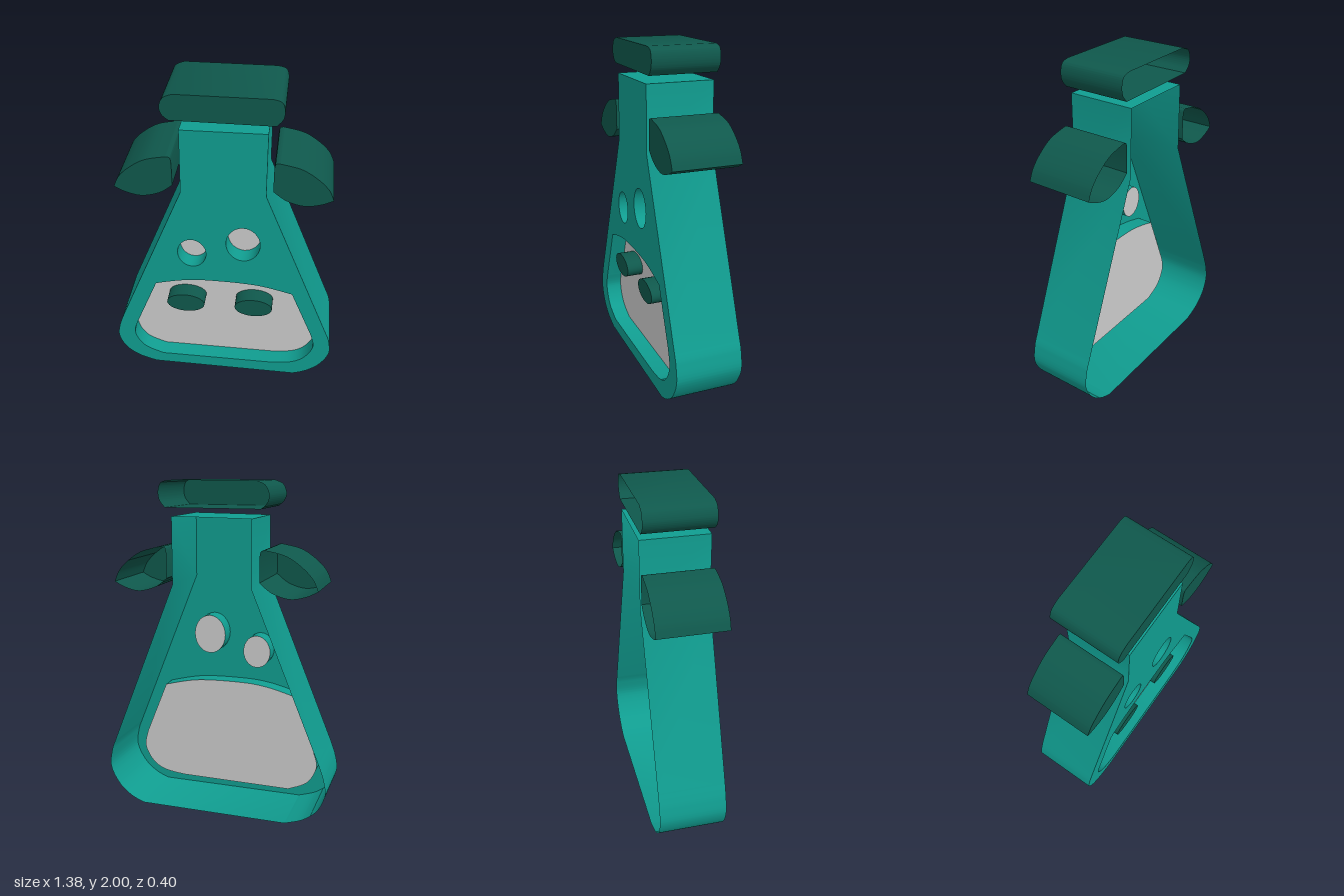
import * as THREE from 'three';
import { mergeGeometries, toCreasedNormals } from 'three/addons/utils/BufferGeometryUtils.js';

const FRONT = 0.2, BACK = -0.2, RECESS = 0.1, SEGMENTS = 14;

const material = (color) => new THREE.MeshStandardMaterial({ color, side: THREE.DoubleSide });

// Closed outline: each step is a line [x, y] or a smooth run of points [[x, y], [x, y], ...]
function outline([start, ...steps], Type = THREE.Shape) {
  const path = new Type();
  path.moveTo(...start);
  for (const step of steps) {
    if (Array.isArray(step[0])) path.splineThru(step.map(([x, y]) => new THREE.Vector2(x, y)));
    else path.lineTo(...step);
  }
  path.closePath();
  return path;
}

function oval(x, y, rx, ry) {
  return new THREE.Shape().absellipse(x, y, rx, ry, 0, Math.PI * 2, false, 0);
}

// Open strip that follows an outline from depth z0 back to z1
function wall(path, z0, z1) {
  const points = path.getPoints(SEGMENTS);
  if (THREE.ShapeUtils.area(points) < 0) points.reverse();
  const position = [];
  points.forEach((p, i) => {
    const q = points[(i + 1) % points.length];
    if (p.distanceTo(q) < 1e-5) return;
    position.push(p.x, p.y, z0, p.x, p.y, z1, q.x, q.y, z1);
    position.push(p.x, p.y, z0, q.x, q.y, z1, q.x, q.y, z0);
  });
  const geometry = new THREE.BufferGeometry();
  geometry.setAttribute('position', new THREE.Float32BufferAttribute(position, 3));
  return toCreasedNormals(geometry, 0.5);
}

function face(shape, z) {
  const geometry = new THREE.ShapeGeometry(shape, SEGMENTS).toNonIndexed();
  geometry.deleteAttribute('uv');
  return geometry.translate(0, 0, z);
}

// Front face plus side wall, open at the back; holes get short walls of their own
function shell(name, shape, mat, back = BACK) {
  const parts = [face(shape, FRONT), wall(shape, FRONT, back)];
  for (const hole of shape.holes) parts.push(wall(hole, FRONT, RECESS));
  const mesh = new THREE.Mesh(mergeGeometries(parts), mat);
  mesh.name = name;
  return mesh;
}

export function createModel() {
  const model = new THREE.Group();
  model.name = 'flaskCow';
  const teal = material(0x109d90), dark = material(0x0f584c), grey = material(0xcccccc);

  // Flask-shaped body
  const body = outline([
    [-0.23, 1.795], [-0.235, 1.4], [-0.64, 0.42],
    [[-0.675, 0.32], [-0.687, 0.22], [-0.645, 0.12], [-0.56, 0.05], [-0.45, 0.01]],
    [0.466, 0.003],
    [[0.55, 0.04], [0.63, 0.11], [0.685, 0.22], [0.675, 0.33], [0.65, 0.4]],
    [0.243, 1.41], [0.243, 1.8],
  ]);

  // Recessed muzzle and eyes
  const muzzle = outline([
    [-0.413, 0.71], [-0.555, 0.36],
    [[-0.577, 0.26], [-0.52, 0.15], [-0.4, 0.09]],
    [0.31, 0.09],
    [[0.445, 0.11], [0.53, 0.165], [0.58, 0.265], [0.56, 0.37]],
    [0.423, 0.705],
    [[0.2, 0.755], [-0.085, 0.765], [-0.25, 0.75], [-0.413, 0.71]],
  ]);
  const recesses = {
    muzzlePanel: muzzle,
    rightEye: oval(-0.183, 0.97, 0.085, 0.1),
    leftEye: oval(0.12, 1.06, 0.1, 0.12),
  };
  body.holes.push(...Object.values(recesses));
  model.add(shell('body', body, teal));
  for (const [name, shape] of Object.entries(recesses)) {
    const panel = new THREE.Mesh(face(shape, RECESS), grey);
    panel.name = name;
    model.add(panel);
  }

  // Nostrils standing on the muzzle panel
  model.add(shell('rightNostril', oval(-0.233, 0.563, 0.118, 0.067), dark, RECESS));
  model.add(shell('leftNostril', oval(0.19, 0.563, 0.116, 0.066), dark, RECESS));

  // Leaf-shaped ears, mirrored
  for (const [name, side, shift] of [['leftEar', 1, 0.005], ['rightEar', -1, -0.003]]) {
    const at = ([x, y]) => [side * x + shift, y];
    const ear = outline([
      at([0.275, 1.445]),
      [[0.35, 1.39], [0.45, 1.363], [0.54, 1.38], [0.607, 1.412]].map(at),
      [[0.575, 1.48], [0.51, 1.545], [0.42, 1.6], [0.3, 1.627]].map(at),
      [[0.282, 1.62], [0.275, 1.59]].map(at),
    ]);
    model.add(shell(name, ear, dark));
  }

  // Floating stopper
  const stopper = outline([
    [-0.28, 1.848], [0.282, 1.848],
    [[0.315, 1.89], [0.322, 1.94], [0.305, 1.985], [0.26, 2]],
    [-0.255, 1.998],
    [[-0.305, 1.975], [-0.327, 1.925], [-0.315, 1.88], [-0.28, 1.848]],
  ]);
  model.add(shell('stopper', stopper, dark));

  return model;
}
